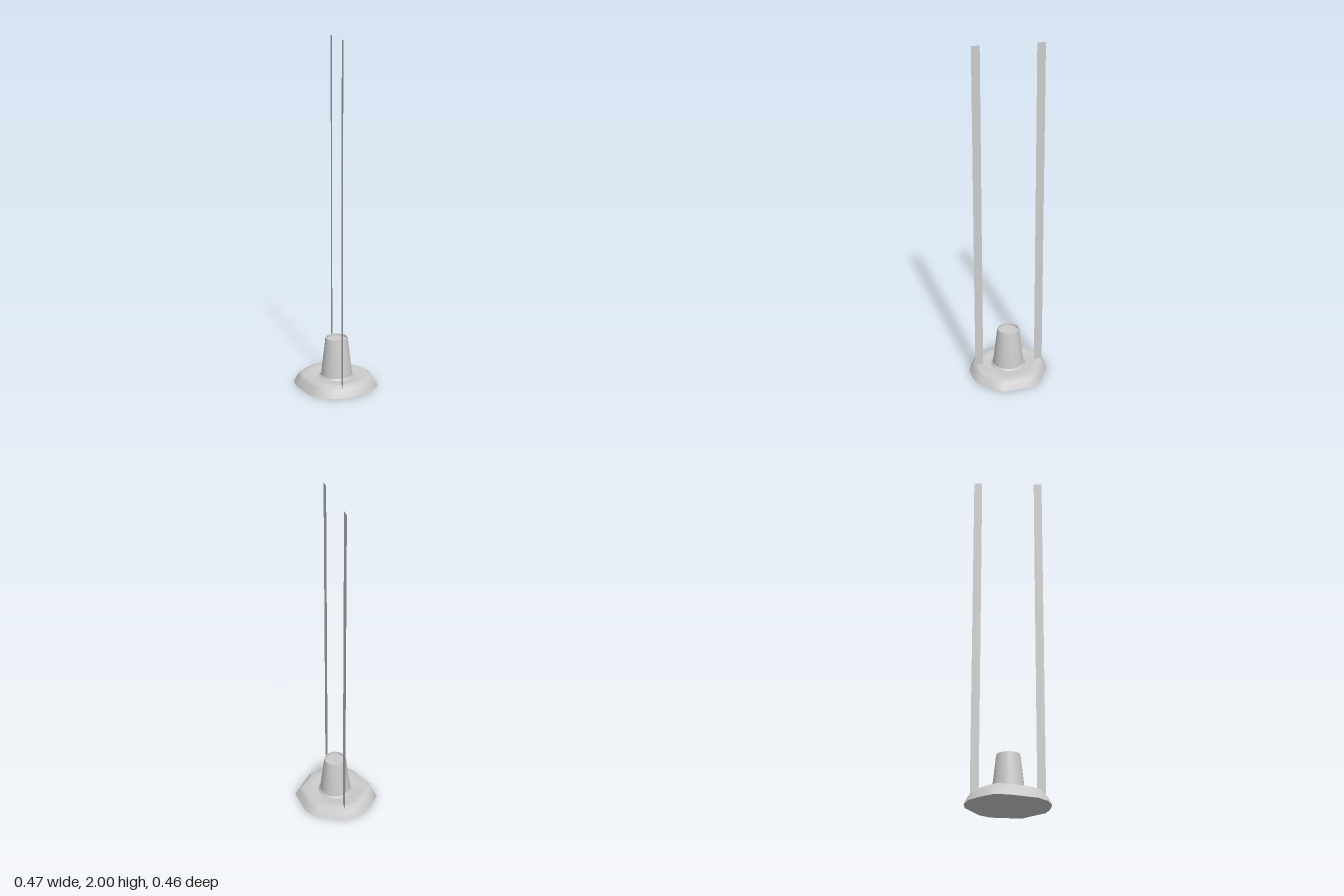
import * as THREE from 'three';
import { toCreasedNormals } from 'three/addons/utils/BufferGeometryUtils.js';

const grey = (side = THREE.FrontSide) => new THREE.MeshStandardMaterial({ color: 0xcccccc, side });

// Irregular outline of the base as [x, z], clockwise seen from above
const OUTLINE = [
  [-0.047, -0.232], [0.031, -0.227], [0.172, -0.152], [0.219, -0.089], [0.235, 0.082],
  [0.178, 0.141], [0.12, 0.207], [0.047, 0.225], [-0.042, 0.23], [-0.12, 0.202],
  [-0.174, 0.149], [-0.229, 0.004], [-0.237, -0.08], [-0.187, -0.145], [-0.126, -0.205],
];

// Cross-sections from rim to centre: [scale, height, rise per unit of x]
const TOP_RINGS = [
  [1, 0.003, 0.01], [0.91, 0.045, 0], [0.82, 0.065, -0.025],
  [0.65, 0.062, -0.01], [0.45, 0.055, 0], [0.25, 0.053, 0],
];
const UNDERSIDE_RINGS = [[1, 0.003, 0.01], [0.75, 0.01, 0], [0.4, 0.017, 0], [0, 0.02, 0]];

// Skin through scaled copies of the outline
function ringSkin(rings, facesDown) {
  const n = OUTLINE.length, positions = [], index = [];
  for (const [scale, y, rise] of rings) {
    for (const [x, z] of OUTLINE) positions.push(x * scale, y + rise * x, z * scale);
  }
  for (let r = 0; r < rings.length - 1; r++) {
    for (let i = 0; i < n; i++) {
      const j = (i + 1) % n;
      const [a, b] = facesDown ? [r * n + j, r * n + i] : [r * n + i, r * n + j];
      index.push(a, a + n, b, b, a + n, b + n);
    }
  }
  const geometry = new THREE.BufferGeometry();
  geometry.setAttribute('position', new THREE.Float32BufferAttribute(positions, 3));
  geometry.setIndex(index);
  geometry.computeVertexNormals();
  return geometry;
}

export function createModel() {
  const model = new THREE.Group();
  const add = (name, geometry, material) => {
    const mesh = new THREE.Mesh(geometry, material);
    mesh.name = name;
    model.add(mesh);
    return mesh;
  };

  // Base with a slightly sunken middle and a shallow hollow underneath
  add('baseTop', ringSkin(TOP_RINGS, false), grey());
  add('baseUnderside', ringSkin(UNDERSIDE_RINGS, true), grey());

  // Tapered socket with a flared foot, a thin lip and a shallow recess in the top
  const profile = [
    [0.102, 0.05], [0.1, 0.058], [0.091, 0.066], [0.066, 0.28], [0.064, 0.29],
    [0.059, 0.29], [0.058, 0.278], [0, 0.278],
  ].map(([r, y]) => new THREE.Vector2(r, y));
  const socket = toCreasedNormals(new THREE.LatheGeometry(profile, 20), 0.6);
  add('socket', socket, grey(THREE.DoubleSide)).position.set(0.004, 0, 0.002);

  // Two tall flat strips standing on the base, front and back
  const bottom = 0.05, top = 2;
  for (const [name, sign] of [['frontStrip', 1], ['backStrip', -1]]) {
    const strip = add(name, new THREE.PlaneGeometry(0.047, top - bottom), grey(THREE.DoubleSide));
    strip.rotation.y = Math.PI / 2;
    strip.position.set(0.005, (top + bottom) / 2, sign * 0.178);
  }
  return model;
}
